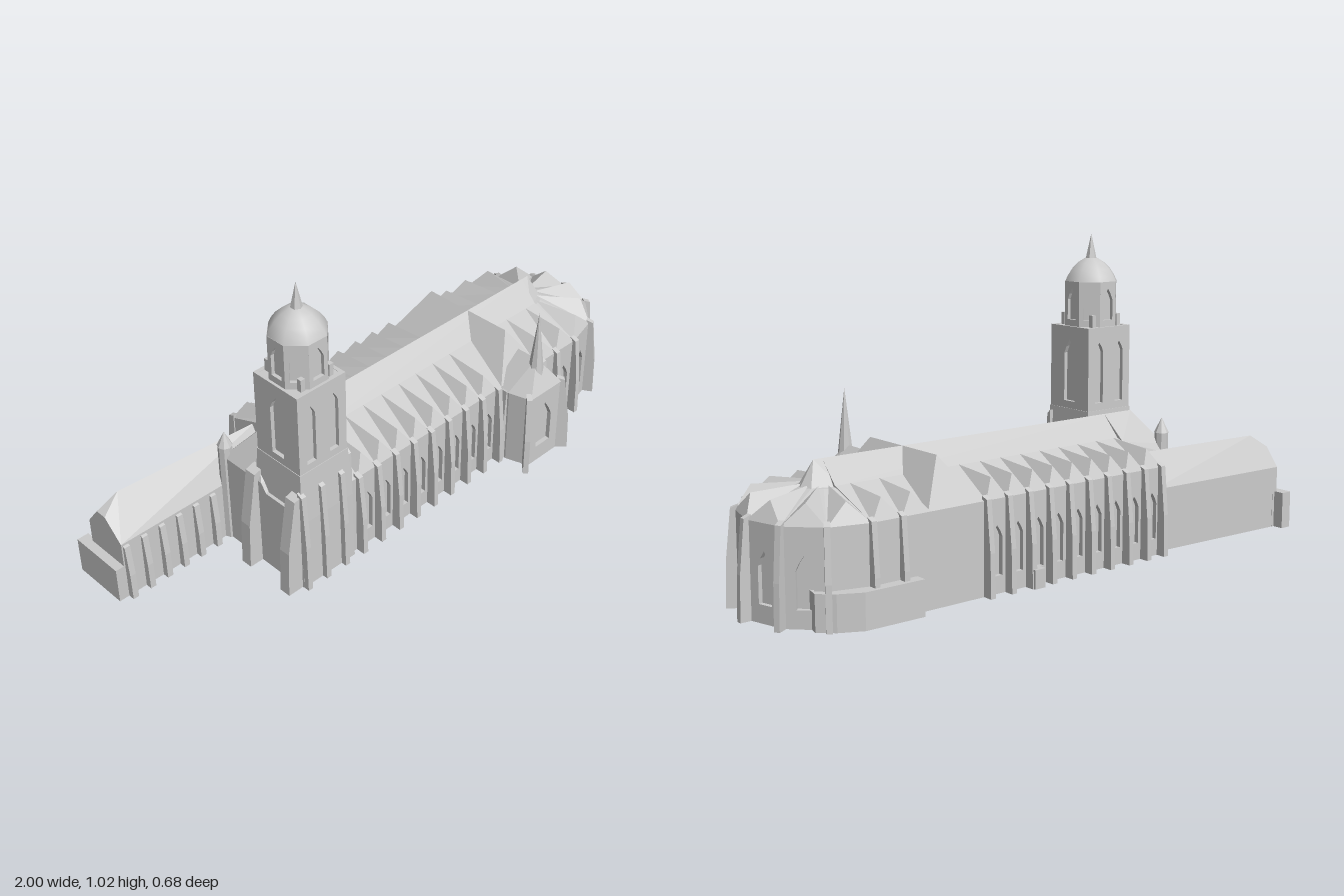
import * as THREE from 'three';
import { ConvexGeometry } from 'three/addons/geometries/ConvexGeometry.js';

const stone = new THREE.MeshStandardMaterial({ color: 0xcccccc, flatShading: true });
const smooth = new THREE.MeshStandardMaterial({ color: 0xcccccc, side: THREE.DoubleSide });
const AXIS = -0.05; // z of the nave ridge
const WALL = 0.29;  // eaves height
const APSE_X = 0.72, APSE_R = 0.25;

function add(parent, name, geometry, material = stone) {
  const mesh = new THREE.Mesh(geometry, material);
  mesh.name = name;
  parent.add(mesh);
  return mesh;
}

function group(parent, name, x = 0, y = 0, z = 0, turn = 0) {
  const g = new THREE.Group();
  g.name = name;
  g.position.set(x, y, z);
  g.rotation.y = turn;
  parent.add(g);
  return g;
}

const hull = (parent, name, pts) =>
  add(parent, name, new ConvexGeometry(pts.map((p) => new THREE.Vector3(...p))));

function box(parent, name, x0, x1, y0, y1, z0, z1) {
  const g = new THREE.BoxGeometry(x1 - x0, y1 - y0, z1 - z0);
  return add(parent, name, g.translate((x0 + x1) / 2, (y0 + y1) / 2, (z0 + z1) / 2));
}

// Solid raised from a floor plan of [x, z] points
function prism(parent, name, plan, height) {
  const shape = new THREE.Shape(plan.map(([x, z]) => new THREE.Vector2(x, -z)));
  const g = new THREE.ExtrudeGeometry(shape, { depth: height, bevelEnabled: false });
  return add(parent, name, g.rotateX(-Math.PI / 2));
}

// Wall slab, outer face at z = 0, pierced by pointed windows {x, w, y0, y1}
function panel(parent, name, width, height, windows, depth = 0.015) {
  const w = width / 2;
  const shape = new THREE.Shape([[-w, 0], [w, 0], [w, height], [-w, height]].map((p) => new THREE.Vector2(...p)));
  for (const o of windows) {
    const h = o.w / 2, spring = o.y1 - o.w * 0.9;
    const lancet = [[-h, o.y0], [-h, spring], [-h * 0.6, spring + o.w * 0.45], [0, o.y1],
      [h * 0.6, spring + o.w * 0.45], [h, spring], [h, o.y0]];
    shape.holes.push(new THREE.Path(lancet.map(([x, y]) => new THREE.Vector2(o.x + x, y))));
  }
  const g = new THREE.ExtrudeGeometry(shape, { depth, bevelEnabled: false });
  return add(parent, name, g.translate(0, 0, -depth));
}

// Bay of wall with its leaning roof gable
function bay(parent, x, z, turn, width, windowWidth) {
  const g = group(parent, 'bay', x, 0, z, turn);
  panel(g, 'bayWall', width, WALL, windowWidth ? [{ x: 0, w: windowWidth, y0: 0.055, y1: 0.21 }] : []);
  hull(g, 'bayGable', [[-width / 2, WALL, 0], [width / 2, WALL, 0], [0, 0.35, -0.03], [0, 0.362, -0.185]]);
}

// Sloped buttress standing out along +z before turning
function buttress(parent, x, z, turn, height = 0.305, depth = 0.033, width = 0.018) {
  const g = group(parent, 'buttress', x, 0, z, turn);
  const side = [[-0.01, 0], [depth, 0], [depth * 0.9, height * 0.45], [depth * 0.4, height * 0.97], [-0.01, height]];
  hull(g, 'buttressBody', side.flatMap(([d, y]) => [[-width / 2, y, d], [width / 2, y, d]]));
}

function buildNave(root) {
  const nave = group(root, 'nave');
  const plan = [[-0.57, 0.2], [-0.32, 0.2], [-0.32, 0.185], [0.32, 0.185], [0.32, 0.2], [0.52, 0.2], [0.52, 0.185]];
  for (let k = 0; k <= 6; k++) {
    const a = (k * Math.PI) / 6;
    plan.push([APSE_X + 0.235 * Math.sin(a), AXIS + 0.235 * Math.cos(a)]);
  }
  plan.push([0.52, -0.285], [0.52, -0.3], [0.32, -0.3], [0.32, -0.285], [-0.4, -0.285], [-0.4, -0.16], [-0.57, -0.16]);
  prism(nave, 'naveCore', plan, WALL);

  // Main roof with a steep crown over shallow skirts
  const profile = [[-0.25, WALL], [0.25, WALL], [0.065, 0.36], [0, 0.43], [-0.065, 0.36]];
  const section = new THREE.Shape(profile.map((p) => new THREE.Vector2(...p)));
  const roof = new THREE.ExtrudeGeometry(section, { depth: APSE_X + 0.4, bevelEnabled: false });
  add(nave, 'naveRoof', roof.rotateY(Math.PI / 2).translate(-0.4, 0, AXIS));
  hull(nave, 'westRoof', [[-0.5, 0.43, AXIS], [-0.38, 0.43, AXIS], [-0.57, WALL, -0.16], [-0.57, WALL, 0.06],
    [-0.38, WALL, -0.16], [-0.38, WALL, 0.06], [-0.57, 0.32, -0.14], [-0.57, 0.32, 0.04], [-0.38, 0.35, -0.14], [-0.38, 0.35, 0.04]]);
  const skirt = new THREE.LatheGeometry([[0.25, WALL], [0.07, 0.355], [0, 0.36]].map((p) => new THREE.Vector2(...p)), 6, 0, Math.PI);
  const apseRoof = add(nave, 'apseRoof', skirt, new THREE.MeshStandardMaterial({ color: 0xcccccc, flatShading: true, side: THREE.DoubleSide }));
  apseRoof.position.set(APSE_X, 0, AXIS);
  hull(nave, 'eastHip', [[0.7, 0.43, AXIS], [0.75, 0.43, AXIS], [0.7, 0.355, 0.015], [0.7, 0.355, -0.115],
    [0.78, 0.355, -0.015], [0.78, 0.355, -0.085], [0.795, 0.355, AXIS]]);

  // Nave bays and buttresses on both sides
  for (let i = 0; i < 8; i++) bay(nave, -0.28 + i * 0.08, 0.2, 0, 0.08, 0.04);
  for (let i = 0; i < 9; i++) bay(nave, -0.36 + i * 0.08, -0.3, Math.PI, 0.08, 0.04);
  for (let i = 0; i < 9; i++) {
    buttress(nave, -0.32 + i * 0.08, 0.2, 0);
    buttress(nave, -0.32 + i * 0.08, -0.3, Math.PI);
  }
  buttress(nave, -0.395, -0.3, Math.PI);

  // Choir bays, then the six-sided apse
  for (const x of [0.57, 0.67]) {
    bay(nave, x, 0.2, 0, 0.1, 0.05);
    bay(nave, x, -0.3, Math.PI, 0.1, 0);
  }
  for (const x of [0.545, 0.62, 0.72]) buttress(nave, x, 0.2, 0);
  for (const x of [0.62, 0.72]) buttress(nave, x, -0.3, Math.PI, 0.305, 0.025);
  const step = Math.PI / 6, apothem = APSE_R * Math.cos(step / 2);
  for (let k = 0; k < 6; k++) {
    const a = (k + 0.5) * step;
    bay(nave, APSE_X + apothem * Math.sin(a), AXIS + apothem * Math.cos(a), a, 2 * APSE_R * Math.sin(step / 2), k < 5 ? 0.05 : 0);
    if (k) buttress(nave, APSE_X + APSE_R * Math.sin(k * step), AXIS + APSE_R * Math.cos(k * step), k * step);
  }

  // Low additions along the back
  prism(nave, 'backAnnex', [[0.57, -0.25], [0.87, -0.2], [0.885, -0.26], [0.84, -0.3], [0.77, -0.335], [0.57, -0.338]], 0.11);
  box(nave, 'backShed', 0.125, 0.165, 0, 0.06, -0.34, -0.29);
}

function buildTransept(root) {
  const t = group(root, 'transept', 0.44);
  hull(t, 'transeptRoof', [[0, 0.43, 0.12], [0, 0.43, -0.22], [-0.1, WALL, 0.2], [0.09, WALL, 0.2],
    [-0.1, WALL, -0.3], [0.09, WALL, -0.3]]);

  // Porch with window, hipped roof and thin spire
  prism(t, 'porchBody', [[-0.095, 0.18], [-0.095, 0.23], [-0.075, 0.295], [0.075, 0.295], [0.1, 0.23], [0.1, 0.18]], 0.28);
  const front = group(t, 'porchFront', 0, 0, 0.31);
  panel(front, 'porchWall', 0.15, 0.28, [{ x: 0, w: 0.07, y0: 0.06, y1: 0.23 }]);
  hull(t, 'porchRoof', [[-0.1, 0.28, 0.17], [0.1, 0.28, 0.17], [-0.1, 0.28, 0.23], [0.1, 0.28, 0.23],
    [-0.077, 0.28, 0.312], [0.077, 0.28, 0.312], [0, 0.385, 0.26], [0, 0.385, 0.18]]);
  const spire = add(t, 'porchSpire', new THREE.ConeGeometry(0.032, 0.275, 8));
  spire.position.set(0, 0.4275, 0.26);
  for (const s of [-1, 1]) {
    buttress(t, s * 0.078, 0.303, s * Math.PI / 4, 0.295, 0.042);
    buttress(t, s * 0.095, 0.215, s * Math.PI / 2, 0.29, 0.015);
  }
}

function buildTower(root) {
  const t = group(root, 'tower', -0.457, 0, 0.105);
  const ring = (r, y) => [[-r, y, -r], [r, y, -r], [-r, y, r], [r, y, r]];
  hull(t, 'towerBase', [...ring(0.107, 0), ...ring(0.104, 0.25), ...ring(0.096, 0.43)]);
  box(t, 'belfryCore', -0.081, 0.081, 0.42, 0.709, -0.081, 0.081);
  for (let i = 0; i < 4; i++) {
    const a = (i * Math.PI) / 2;
    const side = group(t, 'belfrySide', 0.094 * Math.sin(a), 0.43, 0.094 * Math.cos(a), a);
    const windows = i % 2 ? [{ x: 0, w: 0.052, y0: 0.025, y1: 0.235 }]
      : [-0.045, 0.045].map((x) => ({ x, w: 0.036, y0: 0.025, y1: 0.23 }));
    panel(side, 'belfryWall', 0.188, 0.28, windows, 0.013);
  }

  // Octagonal lantern, dome and finial
  const core = add(t, 'lanternCore', new THREE.CylinderGeometry(0.079, 0.079, 0.15, 8, 1, false, Math.PI / 8));
  core.position.y = 0.784;
  for (let i = 0; i < 8; i++) {
    const a = (i * Math.PI) / 4;
    const side = group(t, 'lanternSide', 0.085 * Math.sin(a), 0.71, 0.085 * Math.cos(a), a);
    panel(side, 'lanternWall', 0.0704, 0.15, [{ x: 0, w: 0.042, y0: 0.022, y1: 0.127 }], 0.012);
  }
  const dome = [[0.092, 0.858], [0.083, 0.878], [0.068, 0.9], [0.047, 0.92], [0.022, 0.935], [0, 0.938]];
  const domeMesh = add(t, 'dome', new THREE.LatheGeometry(dome.map((p) => new THREE.Vector2(...p)), 8), smooth);
  domeMesh.rotation.y = Math.PI / 8;
  add(t, 'finial', new THREE.ConeGeometry(0.019, 0.085, 6)).position.y = 0.975;
  for (const x of [-0.055, 0.055]) for (const z of [-0.07, 0.07])
    box(t, 'cornerPier', x - 0.008, x + 0.008, 0.705, 0.75, z - 0.008, z + 0.008);

  // Buttresses on the front and west faces
  for (const x of [-0.097, -0.02, 0.06]) buttress(t, x, 0.1, 0, 0.37, 0.026);
  buttress(t, 0.095, 0.09, 0, 0.415, 0.012, 0.03);
  for (const z of [-0.1, 0.08]) buttress(t, -0.1, z, -Math.PI / 2, 0.36, 0.063, 0.04);

  // Stair turret behind the tower
  const turret = group(root, 'stairTurret', -0.56, 0, -0.14);
  add(turret, 'turretShaft', new THREE.CylinderGeometry(0.023, 0.023, 0.36, 8)).position.y = 0.18;
  add(turret, 'turretCap', new THREE.ConeGeometry(0.025, 0.05, 8)).position.y = 0.385;
}

function buildWestWing(root) {
  const w = group(root, 'westWing');
  const corners = [[-0.97, -0.14], [-0.39, -0.14], [-0.97, -0.3], [-0.39, -0.275]];
  hull(w, 'wingBody', [...corners.flatMap(([x, z]) => [[x, 0, z], [x, 0.21, z]]),
    [-0.97, 0.275, -0.25], [-0.97, 0.275, -0.21], [-0.9, 0.32, -0.235], [-0.39, 0.32, -0.2]]);
  for (let i = 0; i < 6; i++) buttress(w, -0.955 + i * 0.066, -0.14, 0, 0.205, 0.022, 0.02);
  box(w, 'wingEndBlock', -1, -0.95, 0, 0.125, -0.3, -0.14);
  box(w, 'wingCornerPier', -1, -0.96, 0, 0.125, -0.337, -0.29);
}

export function createModel() {
  const root = new THREE.Group();
  root.name = 'church';
  buildNave(root);
  buildTransept(root);
  buildTower(root);
  buildWestWing(root);
  return root;
}
